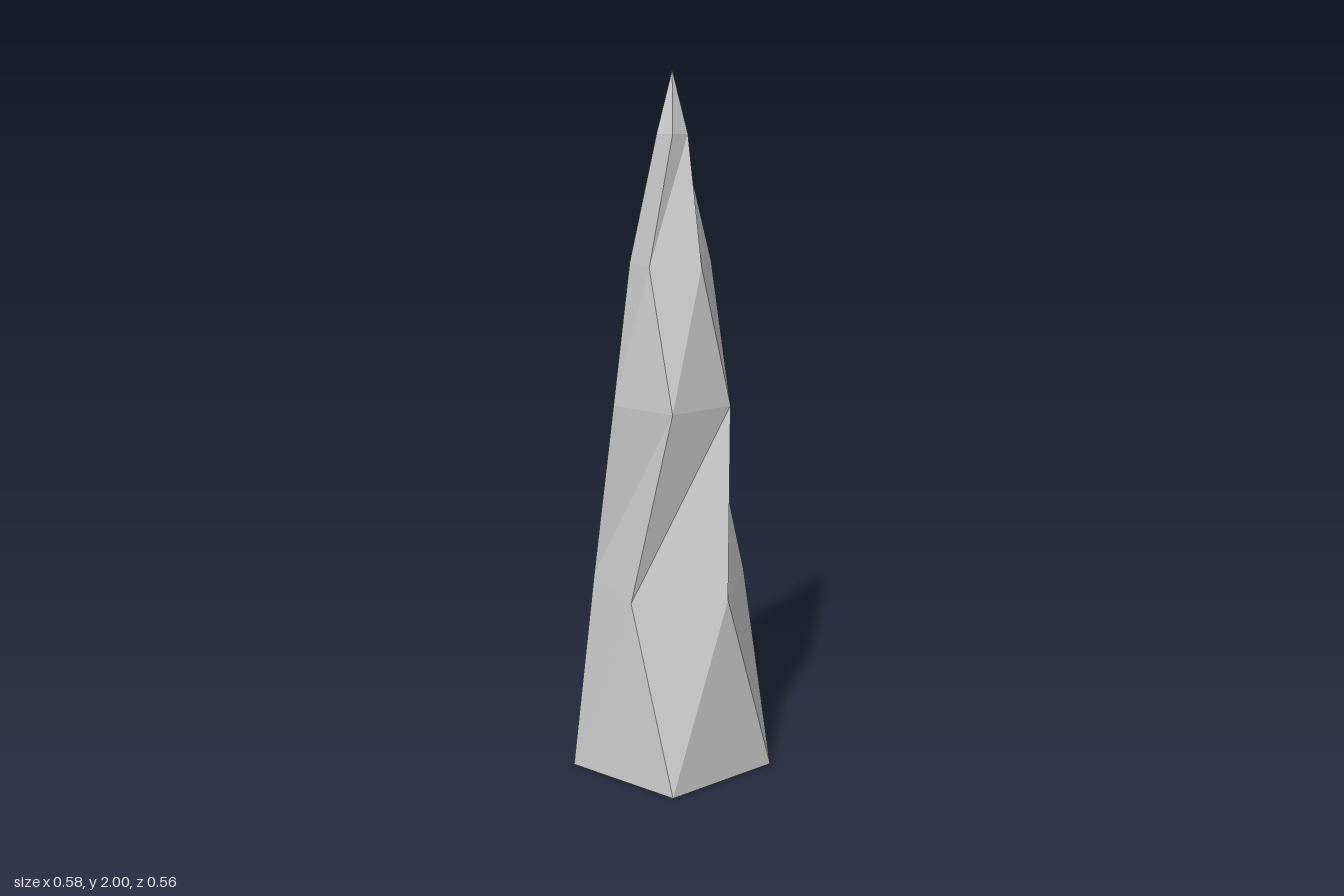
import * as THREE from 'three';

// Cross-sections from the base up: height and five [x, z] corners, clockwise from the back
const RINGS = [
  { y: 0, pts: [[0.01, -0.28], [0.29, -0.056], [0.16, 0.28], [-0.198, 0.261], [-0.29, -0.087]] },
  { y: 0.545, pts: [[0.123, -0.175], [0.222, 0.086], [0.005, 0.259], [-0.225, 0.109], [-0.153, -0.16]] },
  { y: 1.08, pts: [[0.005, -0.15], [0.162, -0.021], [0.088, 0.169], [-0.115, 0.158], [-0.167, -0.04]] },
  { y: 1.475, pts: [[0.06, -0.073], [0.113, 0.054], [0.003, 0.14], [-0.12, 0.064], [-0.083, -0.069]] },
  { y: 1.83, pts: [[-0.003, -0.023], [0.038, 0.012], [0.02, 0.06], [-0.034, 0.06], [-0.048, 0.008]] },
];
const TIP = [-0.006, 2, 0.024];

// Skins the rings with triangles and closes them at the tip; the base stays open
function spireGeometry() {
  const sides = RINGS[0].pts.length;
  const positions = RINGS.flatMap(({ y, pts }) => pts.flatMap(([x, z]) => [x, y, z]));
  positions.push(...TIP);
  const tip = RINGS.length * sides;
  const index = [];
  for (let r = 0; r < RINGS.length; r++) {
    for (let i = 0; i < sides; i++) {
      const a = r * sides + i;
      const b = r * sides + (i + 1) % sides;
      if (r === RINGS.length - 1) index.push(a, tip, b);
      else index.push(a, a + sides, b, b, a + sides, b + sides);
    }
  }
  const geometry = new THREE.BufferGeometry();
  geometry.setAttribute('position', new THREE.Float32BufferAttribute(positions, 3));
  geometry.setIndex(index);
  const faceted = geometry.toNonIndexed();
  faceted.computeVertexNormals();
  return faceted;
}

export function createModel() {
  const group = new THREE.Group();
  group.name = 'rockSpire';

  // Open-bottomed, faceted stone spike
  const material = new THREE.MeshStandardMaterial({
    color: 0xcccccc,
    flatShading: true,
    side: THREE.DoubleSide,
  });
  const spire = new THREE.Mesh(spireGeometry(), material);
  spire.name = 'spire';
  group.add(spire);
  return group;
}
